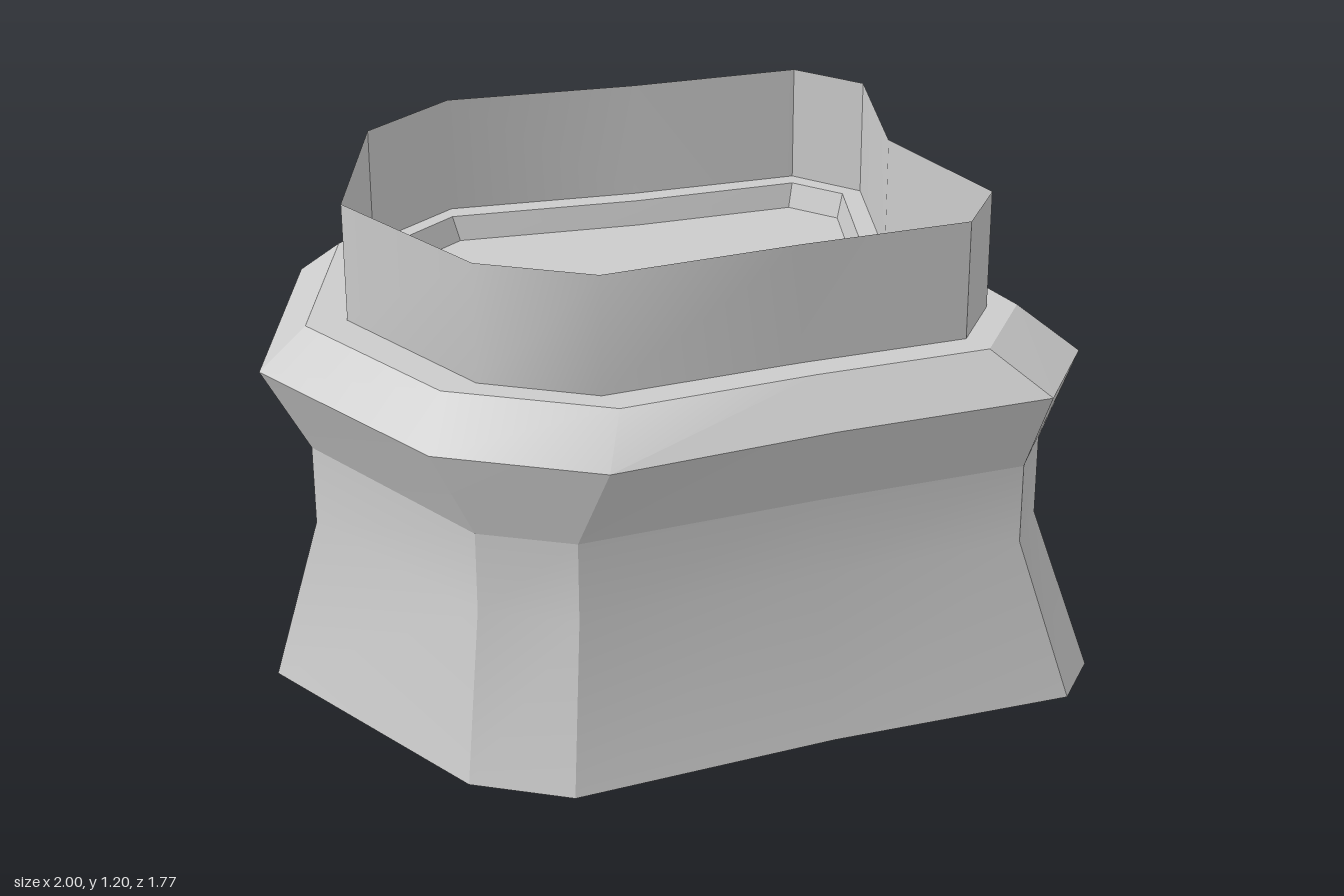
import * as THREE from 'three';
import { toCreasedNormals } from 'three/addons/utils/BufferGeometryUtils.js';

const material = new THREE.MeshStandardMaterial({ color: 0xcccccc, side: THREE.DoubleSide });

// Horizontal outlines as [x, z], starting at the front corner and running towards +x
const foot = [[-0.36, 0.87], [-0.11, 0.885], [0.44, 0.55], [0.965, 0.275], [1, 0.115], [0.605, -0.3],
  [0.455, -0.83], [0.295, -0.89], [-0.24, -0.64], [-0.875, -0.41], [-1, -0.2], [-0.925, 0.48]];
const waist = [[-0.35, 0.77], [-0.115, 0.78], [0.385, 0.49], [0.83, 0.25], [0.855, 0.1], [0.53, -0.265],
  [0.4, -0.71], [0.26, -0.765], [-0.21, -0.56], [-0.765, -0.36], [-0.885, -0.17], [-0.82, 0.43]];
const rim = [[-0.435, 0.815], [-0.03, 0.835], [0.43, 0.555], [0.89, 0.31], [0.935, 0.05], [0.6, -0.3],
  [0.47, -0.755], [0.22, -0.845], [-0.24, -0.63], [-0.79, -0.435], [-0.985, -0.1], [-0.92, 0.475]];
const ledge = [[-0.435, 0.695], [-0.03, 0.715], [0.37, 0.48], [0.74, 0.285], [0.785, 0.035], [0.515, -0.26],
  [0.41, -0.625], [0.155, -0.725], [-0.24, -0.545], [-0.67, -0.375], [-0.87, -0.05], [-0.82, 0.42]];
const recess = [[-0.32, 0.61], [-0.115, 0.625], [0.3, 0.39], [0.645, 0.21], [0.67, 0.075], [0.405, -0.19],
  [0.305, -0.56], [0.17, -0.61], [-0.2, -0.43], [-0.635, -0.255], [-0.735, -0.085], [-0.675, 0.345]];

// Point by point blend of two outlines
const blend = (a, b, t) => a.map(([x, z], i) => [x + (b[i][0] - x) * t, z + (b[i][1] - z) * t]);
const collarLine = blend(ledge, recess, 0.6);
const floorLine = recess.map(([x, z]) => [x * 0.968, z * 0.968]);

// Skin a stack of [outline, height] levels, optionally closing the last one
function loft(name, levels, crease, cap = false) {
  const pos = [];
  const put = ([line, y], i) => pos.push(line[i % line.length][0], y, line[i % line.length][1]);
  for (let k = 0; k < levels.length - 1; k++) {
    const lo = levels[k], hi = levels[k + 1];
    for (let i = 0; i < lo[0].length; i++) {
      put(lo, i); put(lo, i + 1); put(hi, i + 1);
      put(lo, i); put(hi, i + 1); put(hi, i);
    }
  }
  if (cap) {
    const last = levels[levels.length - 1];
    const contour = last[0].map(([x, z]) => new THREE.Vector2(x, -z));
    for (const face of THREE.ShapeUtils.triangulateShape(contour, [])) face.forEach((i) => put(last, i));
  }
  const geometry = new THREE.BufferGeometry();
  geometry.setAttribute('position', new THREE.Float32BufferAttribute(pos, 3));
  const mesh = new THREE.Mesh(toCreasedNormals(geometry, crease), material);
  mesh.name = name;
  return mesh;
}

export function createModel() {
  const group = new THREE.Group();
  group.name = 'pedestal';
  group.add(
    // Flared skirt, open underneath
    loft('skirt', [[foot, 0], [waist, 0.4], [waist, 0.6]], 0.52),
    // Overhang swelling out to the rim
    loft('overhang', [[waist, 0.6], [rim, 0.81]], 0.52),
    // Sloped shoulder
    loft('shoulder', [[rim, 0.81], [ledge, 0.91]], 0.4),
    // Flat ledge with the shallow recessed floor
    loft('recessedFloor', [[ledge, 0.91], [recess, 0.91], [floorLine, 0.85]], 0.3, true),
    // Thin upright collar
    loft('collar', [[collarLine, 0.91], [collarLine, 1.2]], 0.65),
  );
  return group;
}
